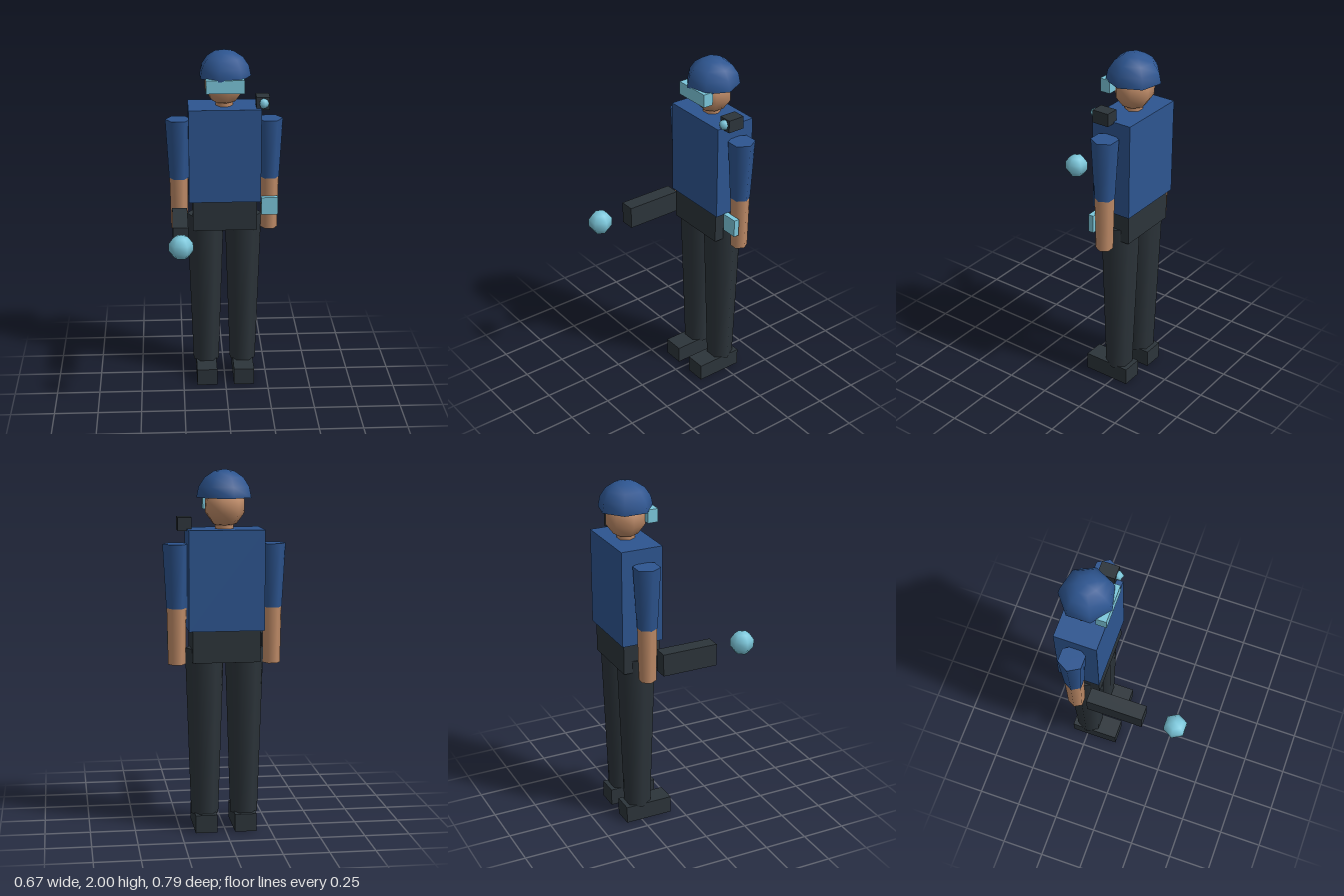
import * as THREE from 'three';

export function createModel() {
  const model = new THREE.Group();
  model.name = 'officer';

  const paint = (name, color, side = THREE.FrontSide) => {
    const m = new THREE.MeshStandardMaterial({ color, side });
    m.name = name;
    return m;
  };
  const navy = paint('navy', 0x2d5590, THREE.DoubleSide);
  const charcoal = paint('charcoal', 0x2c343a);
  const skin = paint('skin', 0xc08c68);
  const cyan = paint('cyan', 0x7cc8dc);

  const add = (name, geometry, material, x, y, z) => {
    const mesh = new THREE.Mesh(geometry, material);
    mesh.name = name;
    mesh.position.set(x, y, z);
    model.add(mesh);
    return mesh;
  };
  // Box given by its lower and upper corners
  const box = (name, material, [x0, y0, z0], [x1, y1, z1]) =>
    add(name, new THREE.BoxGeometry(x1 - x0, y1 - y0, z1 - z0), material,
      (x0 + x1) / 2, (y0 + y1) / 2, (z0 + z1) / 2);
  // Upright six-sided limb with corners pointing sideways
  const limb = (name, material, x, y0, y1, rBottom, rTop) => {
    const g = new THREE.CylinderGeometry(rTop, rBottom, y1 - y0, 6);
    g.rotateY(Math.PI / 6);
    return add(name, g, material, x, (y0 + y1) / 2, bodyZ);
  };
  const bodyZ = -0.25;

  // Trunk
  box('torso', navy, [-0.206, 1.135, -0.37], [0.206, 1.68, -0.13]);
  box('hips', charcoal, [-0.185, 0.96, -0.355], [0.185, 1.135, -0.14]);

  // Arms, legs and boots
  for (const [side, s] of [['left', 1], ['right', -1]]) {
    limb(side + 'Leg', charcoal, s * 0.11, 0.09, 1.03, 0.076, 0.107);
    box(side + 'Boot', charcoal, [s * 0.11 - 0.06, 0, -0.342], [s * 0.11 + 0.06, 0.1, -0.063]);
    limb(side + 'Sleeve', navy, s * 0.262, 1.25, 1.6, 0.056, 0.075);
    limb(side + 'Forearm', skin, s * 0.262, 0.94, 1.25, 0.048, 0.054);
  }

  // Head, helmet and visor
  limb('neck', skin, 0, 1.67, 1.76, 0.05, 0.05);
  add('head', new THREE.SphereGeometry(0.115, 7, 5), skin, 0, 1.8, bodyZ);
  const dome = new THREE.SphereGeometry(0.152, 7, 4, 0, Math.PI * 2, 0, Math.PI / 2);
  add('helmet', dome, navy, 0, 1.848, bodyZ).rotation.y = Math.PI;
  box('visor', cyan, [-0.108, 1.78, -0.168], [0.108, 1.855, -0.108]);

  // Shoulder camera and lens
  box('shoulderCamera', charcoal, [0.179, 1.67, -0.264], [0.255, 1.742, -0.166]);
  add('cameraLens', new THREE.SphereGeometry(0.03, 5, 4), cyan, 0.219, 1.708, -0.16)
    .rotation.y = Math.PI;

  // Wrist screen
  box('wristScreen', cyan, [0.212, 1.04, -0.208], [0.308, 1.143, -0.176]);

  // Hand device and the orb hovering ahead of it
  box('handDevice', charcoal, [-0.304, 0.962, -0.172], [-0.218, 1.09, 0.154]);
  add('orb', new THREE.SphereGeometry(0.07, 6, 5), cyan, -0.262, 1.047, 0.337);

  return model;
}
